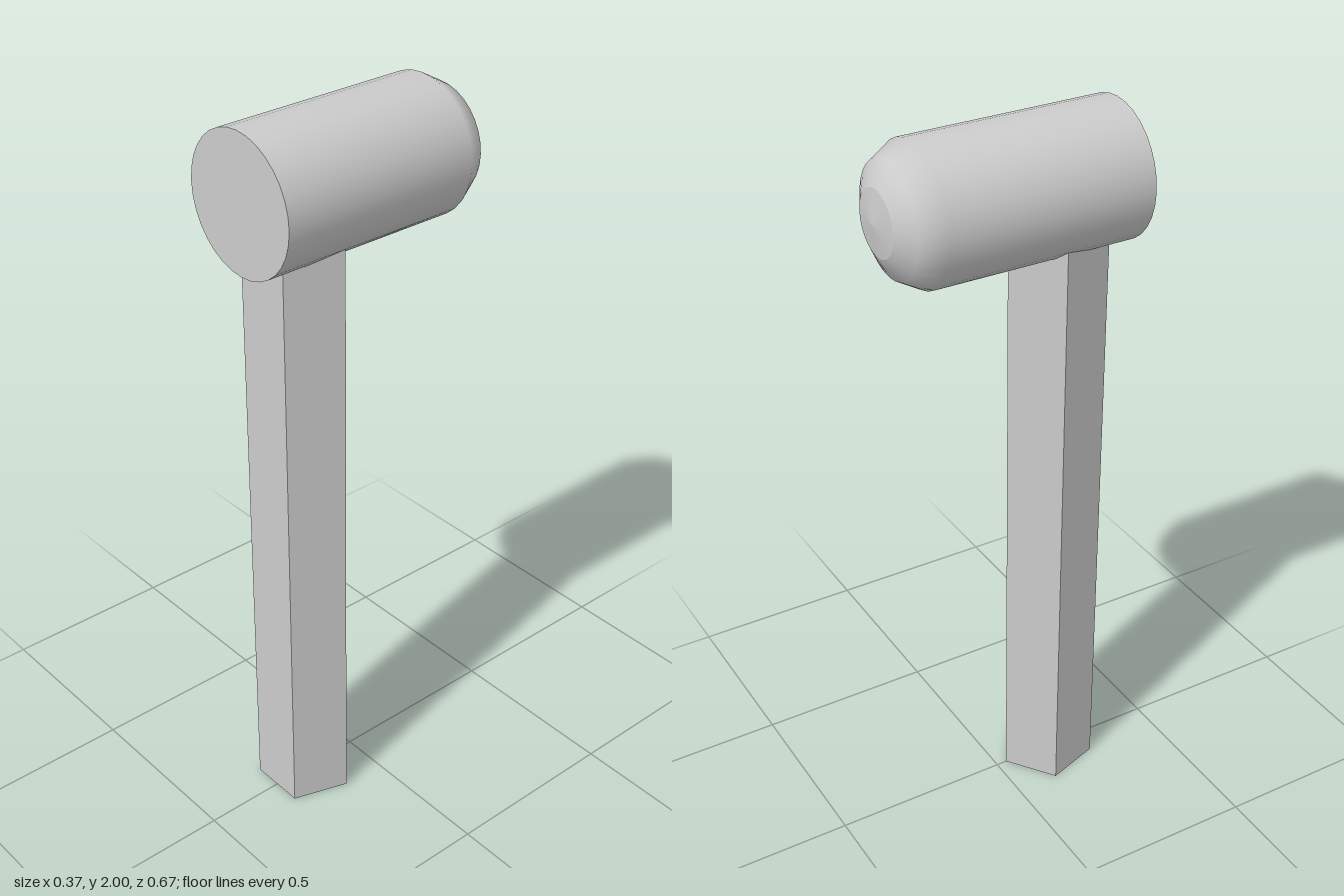
import * as THREE from 'three';

const AXIS_Y = 1.817;

// Surface of revolution around the z axis; profile pairs are [radius, z], front to back.
function turned(name, profile, material) {
  const points = profile.map(([r, z]) => new THREE.Vector2(r, -z));
  const geometry = new THREE.LatheGeometry(points, 32);
  geometry.rotateX(-Math.PI / 2);
  const mesh = new THREE.Mesh(geometry, material);
  mesh.name = name;
  mesh.position.y = AXIS_Y;
  return mesh;
}

export function createModel() {
  const model = new THREE.Group();
  model.name = 'mallet';
  const smooth = new THREE.MeshStandardMaterial({ color: 0xcccccc });
  const faceted = new THREE.MeshStandardMaterial({ color: 0xcccccc, flatShading: true });

  // Head: flat striking face, barrel with rounded shoulder, shallow back cap
  const head = new THREE.Group();
  head.name = 'head';
  head.add(
    turned('strikingFace', [[0, 0.335], [0.183, 0.335]], smooth),
    turned('barrel', [[0.183, 0.335], [0.183, -0.23], [0.147, -0.294], [0.086, -0.325]], smooth),
    turned('backCap', [[0.086, -0.325], [0, -0.337]], smooth),
  );
  model.add(head);

  // Five-sided handle with a flat side forward, ending inside the head
  const height = 1.8;
  const geometry = new THREE.CylinderGeometry(0.135, 0.135, height, 5);
  geometry.rotateY(Math.PI);
  const handle = new THREE.Mesh(geometry, faceted);
  handle.name = 'handle';
  handle.position.set(0, height / 2, 0.165);
  model.add(handle);

  return model;
}
